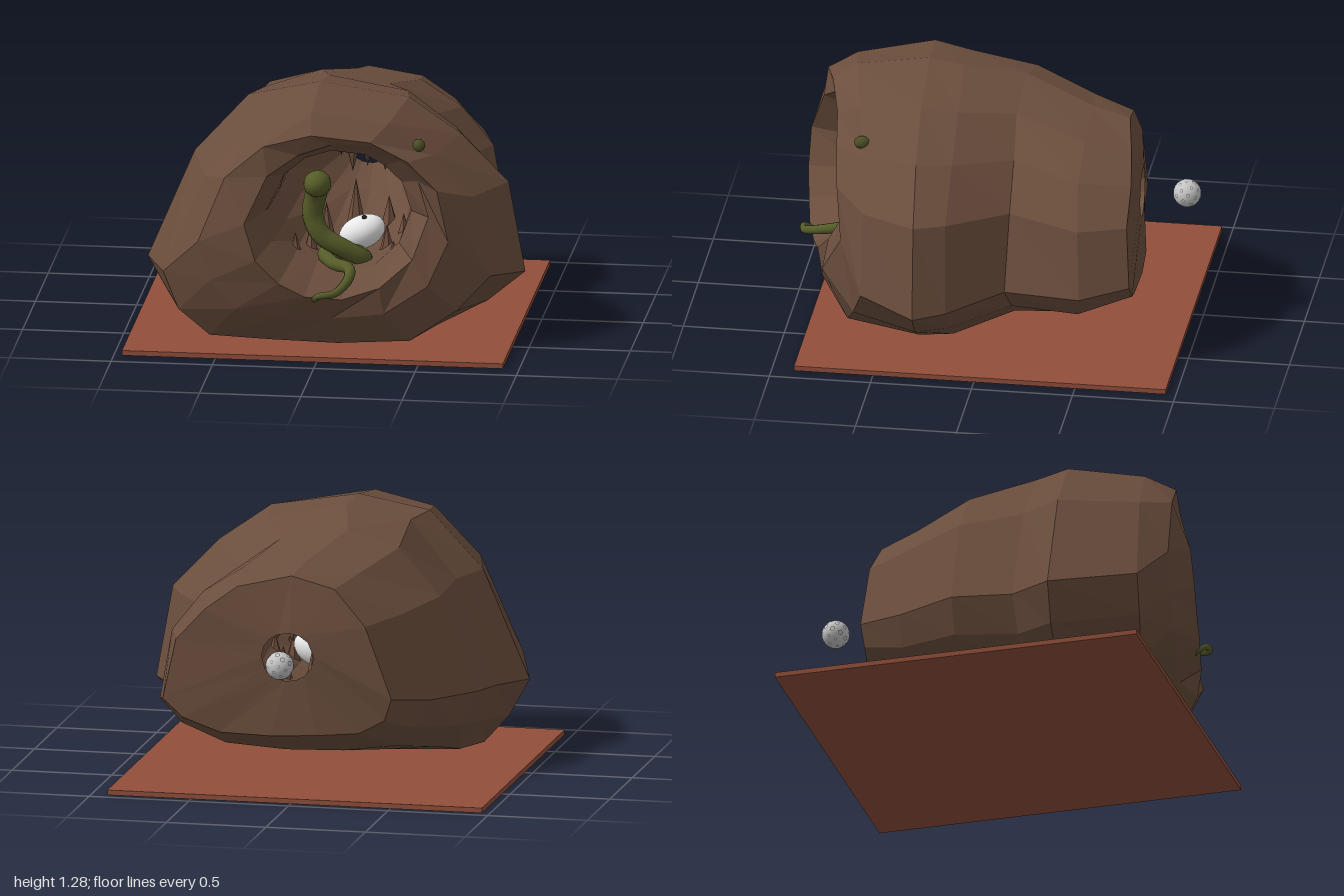
import * as THREE from 'three';

const material = (name, color) => Object.assign(new THREE.MeshStandardMaterial({ color }), { name });
const rock = material('brown rock', 0x6b4e3d);
const clay = material('red clay', 0x914f3b);
const spike = material('spike stone', 0x71503f);
const scales = material('olive scales', 0x555b28);
const moss = material('moss', 0x4c4f25);
const shell = material('egg white', 0xe9e9e9);
const dark = material('dark spot', 0x242220);
const moonGrey = material('moon grey', 0xc6c6c6);
const craterGrey = material('crater grey', 0x6c6c6c);
const red = material('red', 0x9c2f28);

function add(parent, name, geometry, mat, pos = [0, 0, 0]) {
  const mesh = new THREE.Mesh(geometry, mat);
  mesh.name = name;
  mesh.position.set(...pos);
  parent.add(mesh);
  return mesh;
}

// Lopsided boulder outline in units of half width and height, counter-clockwise
const OUTLINE = [
  [1, 0], [0.91, 0.48], [0.66, 0.73], [0.38, 0.925], [-0.09, 1], [-0.47, 0.925], [-0.75, 0.62],
  [-1, 0.05], [-0.9, -0.45], [-0.76, -0.92], [-0.35, -0.98], [0.07, -1], [0.53, -0.95], [0.8, -0.5],
];

// Ring: left x, right x, bottom y, top y, y of widest point, z, z slope over x, z slope over y,
// roughness, roundness (0 boulder outline, 1 ellipse), forward bulge of the lower right
const BACK_HOLE = [-0.06, 0.2, 0.56, 0.8, 0.68, -0.71, -0.05, 0, 0, 1, 0];
const OUTSIDE = [
  BACK_HOLE,
  [-0.45, 0.68, 0.28, 1.07, 0.45, -0.7, -0.08, 0.06, 0.015, 0.6, 0],
  [-0.59, 0.77, 0.16, 1.12, 0.4, -0.45, -0.05, 0, 0.012, 0.5, 0],
  [-0.74, 0.67, 0.1, 1.2, 0.38, -0.12, 0, 0, 0.01, 0.3, 0],
  [-0.78, 0.88, 0.035, 1.26, 0.34, 0.18, -0.04, 0, 0.008, 0, 0],
  [-0.89, 0.96, 0.03, 1.28, 0.33, 0.36, -0.06, 0, 0.004, 0, 0],
  [-0.76, 0.81, 0.05, 1.22, 0.38, 0.7, -0.17, 0, 0.01, 0.3, 0.06],
  [-0.59, 0.63, 0.2, 1.14, 0.58, 0.83, -0.2, 0, 0.01, 0.7, 0.08],
  [-0.34, 0.53, 0.33, 1.08, 0.7, 0.84, -0.34, -0.18, 0.008, 1, 0.05],
];
const INSIDE = [
  [-0.27, 0.42, 0.39, 1.01, 0.7, 0.64, -0.2, 0, 0.01, 1, 0],
  [-0.27, 0.42, 0.38, 0.95, 0.68, 0.3, 0, 0, 0.015, 1, 0],
  [-0.24, 0.38, 0.4, 0.91, 0.68, -0.15, 0, 0, 0.02, 1, 0],
  [-0.16, 0.3, 0.47, 0.87, 0.68, -0.5, 0, 0, 0.015, 1, 0],
  BACK_HOLE,
];

function loft(rings) {
  const points = rings.map(([l, r, b, t, mid, z, sx, sy, rough, round, lip], k) => {
    const cx = (l + r) / 2;
    return OUTLINE.map(([u, v], j) => {
      const a = Math.atan2(v, u), bump = rough * Math.sin(j * 4.7 + k * 2.3);
      const c = THREE.MathUtils.lerp(u, Math.cos(a), round);
      const s = THREE.MathUtils.lerp(v, Math.sin(a), round);
      const x = cx + c * (r - l) / 2;
      const y = mid + s * (s > 0 ? t - mid : mid - b);
      const bulge = 2 * lip * Math.max(0, -s) * Math.max(0, c);
      return [x + bump * c, y + bump * s * 0.5, z + sx * (x - cx) + sy * (y - mid) + bump + bulge];
    });
  });
  const pos = [], sides = OUTLINE.length;
  for (let i = 0; i < points.length - 1; i++) {
    for (let j = 0; j < sides; j++) {
      const n = (j + 1) % sides;
      const a = points[i][j], b = points[i][n], c = points[i + 1][n], d = points[i + 1][j];
      pos.push(...a, ...b, ...c, ...a, ...c, ...d);
    }
  }
  const g = new THREE.BufferGeometry();
  g.setAttribute('position', new THREE.Float32BufferAttribute(pos, 3));
  g.computeVertexNormals();
  return g;
}

// Tube whose radius follows a rule along its length
function taperedTube(points, segments, sides, radius) {
  const curve = new THREE.CatmullRomCurve3(points.map(p => new THREE.Vector3(...p)));
  const g = new THREE.TubeGeometry(curve, segments, 1, sides);
  const p = g.attributes.position, v = new THREE.Vector3();
  for (let i = 0; i < p.count; i++) {
    const t = Math.floor(i / (sides + 1)) / segments, c = curve.getPointAt(t);
    v.fromBufferAttribute(p, i).sub(c).multiplyScalar(radius(t)).add(c);
    p.setXYZ(i, v.x, v.y, v.z);
  }
  g.computeVertexNormals();
  return g;
}

function buildSnake() {
  const snake = new THREE.Group();
  snake.name = 'snake';
  const path = [
    [-0.035, 0.81, 0.57], [-0.05, 0.74, 0.54], [-0.065, 0.65, 0.53], [-0.02, 0.55, 0.54],
    [0.09, 0.48, 0.53], [0.18, 0.42, 0.48], [0.12, 0.42, 0.38], [-0.01, 0.43, 0.44],
    [0.04, 0.42, 0.58], [0.14, 0.43, 0.72], [0.14, 0.4, 0.87], [0.09, 0.37, 0.96],
    [0.02, 0.36, 0.97], [-0.005, 0.33, 0.93], [0.02, 0.315, 0.9], [0.04, 0.33, 0.905],
  ];
  add(snake, 'body', taperedTube(path, 90, 12, t => 0.005 + 0.05 * Math.pow(1 - t, 0.6)), scales);
  const head = add(snake, 'head', new THREE.SphereGeometry(0.065, 16, 12), scales, [-0.035, 0.82, 0.58]);
  head.scale.set(1.05, 1, 1.25);
  return snake;
}

function buildSpikes() {
  const spikes = new THREE.Group();
  spikes.name = 'caveSpikes';
  // x, base y, z, height (negative hangs down), radius
  const list = [
    [0.33, 0.37, 0.5, 0.15, 0.06], [0.28, 0.38, 0.35, 0.18, 0.05], [0.35, 0.39, 0.25, 0.2, 0.06],
    [-0.1, 0.38, 0.3, 0.17, 0.04], [-0.05, 0.39, 0.1, 0.2, 0.05], [0.07, 0.4, -0.1, 0.26, 0.05],
    [0.24, 0.42, -0.05, 0.17, 0.05], [-0.16, 0.4, 0.45, 0.13, 0.04],
    [0.08, 0.92, 0.1, -0.17, 0.045], [0.14, 0.91, 0, -0.16, 0.04], [0.01, 0.92, 0, -0.12, 0.04],
    [0.24, 0.9, 0.1, -0.14, 0.045],
  ];
  for (const [x, y, z, h, r] of list) {
    const g = new THREE.ConeGeometry(r, Math.abs(h), 6).toNonIndexed();
    g.computeVertexNormals();
    const cone = add(spikes, h > 0 ? 'stalagmite' : 'stalactite', g, spike, [x, y + h / 2, z]);
    if (h < 0) cone.rotation.x = Math.PI;
    cone.rotation.y = x * 9;
  }
  return spikes;
}

function buildEgg() {
  const egg = new THREE.Group();
  egg.name = 'spottedEgg';
  const main = add(egg, 'eggShell', new THREE.SphereGeometry(0.09, 24, 16), shell);
  main.scale.set(1.35, 0.9, 1);
  add(egg, 'spot', new THREE.SphereGeometry(0.013, 10, 8), dark, [0.05, 0.068, 0.03]);
  egg.position.set(0.15, 0.5, 0.3);
  egg.rotation.z = 0.45;
  return egg;
}

function buildMoon() {
  const moon = new THREE.Group(), r = 0.069, count = 36;
  moon.name = 'moon';
  add(moon, 'moonBall', new THREE.SphereGeometry(r, 24, 18), moonGrey);
  for (let i = 0; i < count; i++) {
    const y = 1 - (2 * i + 1) / count, a = i * 2.39996, s = Math.sqrt(1 - y * y);
    const dir = new THREE.Vector3(Math.cos(a) * s, y, Math.sin(a) * s);
    const size = 0.008 + 0.005 * ((i * 7) % 5) / 4;
    const crater = add(moon, 'crater', new THREE.RingGeometry(size * 0.72, size, 12), craterGrey);
    crater.position.copy(dir).multiplyScalar(r + 0.001);
    crater.lookAt(dir.clone().multiplyScalar(2));
  }
  moon.position.set(0.06, 0.685, -0.929);
  return moon;
}

export function createModel() {
  const model = new THREE.Group();
  model.name = 'snakeCave';
  add(model, 'basePlate', new THREE.BoxGeometry(1.88, 0.025, 1.84), clay, [-0.02, 0.0125, -0.03]);
  add(model, 'caveRock', loft([...OUTSIDE, ...INSIDE]), rock);
  model.add(buildSpikes(), buildSnake(), buildEgg(), buildMoon());

  // Small egg with a red band beside the large one
  add(model, 'smallEgg', new THREE.SphereGeometry(0.04, 16, 12), shell, [0.04, 0.45, 0.34]);
  const band = add(model, 'redBand', new THREE.TorusGeometry(0.04, 0.004, 6, 20), red, [0.04, 0.45, 0.34]);
  band.rotation.x = 1.2;

  // Moss barely showing on the shoulder of the rock
  const patch = add(model, 'mossPatch', new THREE.IcosahedronGeometry(0.04, 1), moss, [0.47, 1.045, 0.62]);
  patch.scale.set(0.8, 0.8, 1);
  return model;
}
